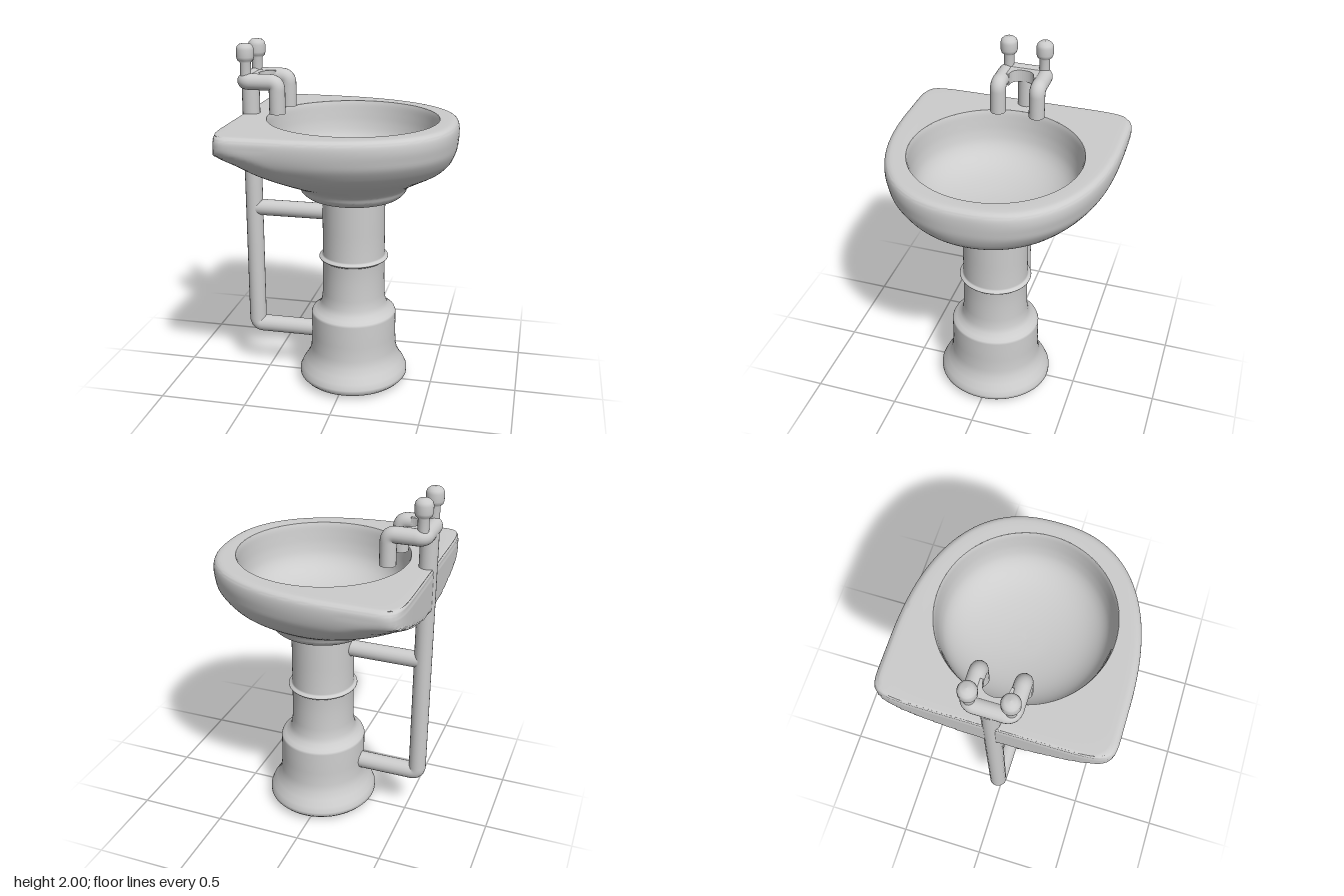
import * as THREE from 'three';
import { toCreasedNormals } from 'three/addons/utils/BufferGeometryUtils.js';

const ceramic = new THREE.MeshStandardMaterial({ color: 0xcccccc });
ceramic.name = 'ceramic grey';

function part(name, geometry, x = 0, y = 0, z = 0) {
  const mesh = new THREE.Mesh(geometry, ceramic);
  mesh.name = name;
  mesh.position.set(x, y, z);
  return mesh;
}

const toPoints = (list) => list.map(([r, y]) => new THREE.Vector2(r, y));

// Straight runs joined by rounded corners
function pipe(points, radius, bend) {
  const pts = points.map((p) => new THREE.Vector3(...p));
  const path = new THREE.CurvePath();
  let from = pts[0];
  for (let i = 1; i < pts.length - 1; i++) {
    const a = pts[i].clone().add(pts[i - 1].clone().sub(pts[i]).setLength(bend));
    const b = pts[i].clone().add(pts[i + 1].clone().sub(pts[i]).setLength(bend));
    path.add(new THREE.LineCurve3(from, a));
    path.add(new THREE.QuadraticBezierCurve3(a, pts[i], b));
    from = b;
  }
  path.add(new THREE.LineCurve3(from, pts[pts.length - 1]));
  return new THREE.TubeGeometry(path, 160, radius, 20);
}

// Smooth in-between value through four neighbouring keys
const blend = (p, q, r, s, t) => 0.5 * (2 * q + (r - p) * t
  + (2 * p - 5 * q + 4 * r - s) * t * t + (3 * q - p - 3 * r + s) * t * t * t);

// Rings of [y, centre x, front x, back x, half width, front exponent, back exponent],
// trimmed at the back to the D-shaped rim outline
function basinShell(keys, sides = 160, steps = 3) {
  const key = (i) => keys[THREE.MathUtils.clamp(i, 0, keys.length - 1)];
  const rows = [];
  for (let i = 0; i < (keys.length - 1) * steps + 1; i++) {
    const k = Math.floor(i / steps), t = (i % steps) / steps;
    rows.push(key(k).map((v, c) => blend(key(k - 1)[c], v, key(k + 1)[c], key(k + 2)[c], t)));
  }
  const pos = [], index = [];
  rows.forEach(([y, cx, front, back, half, nf, nb], i) => {
    for (let j = 0; j < sides; j++) {
      const a = (j / sides) * Math.PI * 2, c = Math.cos(a), s = Math.sin(a);
      const w = c > 0 ? front - cx : cx - back, n = c > 0 ? nf : nb;
      const r = Math.pow(Math.pow(Math.abs(c) / w, n) + Math.pow(Math.abs(s) / half, n), -1 / n);
      let x = cx + r * c, z = r * s;
      if (x < -0.3) {
        const out = Math.pow((-0.3 - x) / 0.305, 9) + Math.pow(Math.abs(z) / 0.639, 9);
        const pull = Math.pow(Math.max(out, 1), -1 / 9);
        x = -0.3 + (x + 0.3) * pull;
        z *= pull;
      }
      pos.push(x, y, z);
      if (i < rows.length - 1) {
        const k = (j + 1) % sides, o = i * sides, u = o + sides;
        index.push(o + j, u + j, o + k, o + k, u + j, u + k);
      }
    }
  });
  const g = new THREE.BufferGeometry();
  g.setAttribute('position', new THREE.Float32BufferAttribute(pos, 3));
  g.setIndex(index);
  return toCreasedNormals(g, 0.9);
}

export function createModel() {
  const model = new THREE.Group();
  model.name = 'pedestalBasin';

  // Basin shell: round foot growing into a D-shaped rim, then the flat deck
  model.add(part('basinShell', basinShell([
    [1.145, 0.03, 0.20, -0.14, 0.17, 2, 2],
    [1.145, 0.03, 0.27, -0.21, 0.24, 2, 2],
    [1.155, 0.03, 0.30, -0.24, 0.27, 2, 2],
    [1.18, 0.03, 0.325, -0.27, 0.295, 2, 2],
    [1.21, 0.03, 0.34, -0.285, 0.31, 2, 2],
    [1.24, 0.02, 0.375, -0.34, 0.35, 2, 2],
    [1.28, -0.03, 0.45, -0.43, 0.43, 2, 2],
    [1.32, -0.09, 0.525, -0.52, 0.50, 2.1, 2],
    [1.36, -0.14, 0.57, -0.605, 0.555, 2.1, 2],
    [1.40, -0.19, 0.592, -0.68, 0.59, 2.2, 2],
    [1.44, -0.24, 0.605, -0.74, 0.617, 2.3, 2.2],
    [1.48, -0.28, 0.61, -0.74, 0.632, 2.35, 3],
    [1.52, -0.3, 0.612, -0.65, 0.639, 2.4, 6],
    [1.555, -0.3, 0.61, -0.605, 0.639, 2.4, 9],
    [1.578, -0.3, 0.602, -0.603, 0.632, 2.4, 9],
    [1.59, -0.3, 0.588, -0.597, 0.617, 2.4, 9],
    [1.595, -0.3, 0.56, -0.585, 0.595, 2.4, 9],
    [1.594, 0.025, 0.505, -0.455, 0.48, 2, 2],
  ])));

  // Bowl: steep wall rounding into a shallow floor
  const bowl = new THREE.SplineCurve(toPoints([
    [0.48, 1.594], [0.473, 1.57], [0.466, 1.52], [0.456, 1.46], [0.436, 1.4], [0.396, 1.35],
    [0.33, 1.308], [0.24, 1.278], [0.12, 1.258], [0, 1.252],
  ]));
  model.add(part('bowl', new THREE.LatheGeometry(bowl.getPoints(36), 80), 0.025));

  // Pedestal with flared foot, stepped plinth and collar ring, slightly oval
  const pedestal = part('pedestal', new THREE.LatheGeometry(toPoints([
    [0, 0.005], [0.2, 0.01], [0.27, 0.02], [0.303, 0.032], [0.319, 0.05], [0.319, 0.07],
    [0.306, 0.1], [0.282, 0.135], [0.262, 0.175], [0.252, 0.22], [0.248, 0.3], [0.248, 0.43],
    [0.243, 0.443], [0.224, 0.455], [0.202, 0.475], [0.188, 0.505], [0.181, 0.56], [0.179, 0.66],
    [0.179, 0.762], [0.186, 0.768], [0.198, 0.776], [0.2, 0.78], [0.198, 0.784], [0.186, 0.792],
    [0.179, 0.798], [0.179, 0.95], [0.179, 1.16],
  ]), 64), 0.03);
  pedestal.scale.z = 1.055;
  model.add(pedestal);

  // Supply pipe behind the pedestal and its upper branch
  const px = -0.565;
  model.add(part('supplyPipe', pipe([[-0.15, 0.293, 0], [px, 0.293, 0], [px, 1.79, 0]], 0.05, 0.035)));
  model.add(part('branchPipe', pipe([[px, 1.035, 0], [-0.1, 1.035, 0]], 0.047, 0.03)));

  // Twin spouts joined by a crossbar
  const sx = -0.377, sz = 0.114, sy = 1.791;
  model.add(part('spouts', pipe([
    [sx, 1.62, sz], [sx, sy, sz], [px, sy, sz],
    [px, sy, -sz], [sx, sy, -sz], [sx, 1.62, -sz],
  ], 0.045, 0.04)));

  for (const side of [1, -1]) {
    const cap = part('spoutEnd', new THREE.CircleGeometry(0.045, 20), sx, 1.62, side * sz);
    cap.rotation.x = Math.PI / 2;
    model.add(cap);
    // Tap knob on a thin neck
    model.add(part('tapHandle', new THREE.LatheGeometry(toPoints([
      [0.03, 1.79], [0.03, 1.895], [0.044, 1.908], [0.049, 1.925], [0.049, 1.965],
      [0.044, 1.982], [0.03, 1.995], [0, 2],
    ]), 24), -0.556, 0, side * 0.105));
  }

  // Curved web filling the inner corners between the crossbar and the arms
  const web = new THREE.Shape();
  web.moveTo(px, -sz);
  web.lineTo(-0.44, -sz);
  web.lineTo(-0.44, -0.07);
  web.quadraticCurveTo(-0.51, -0.07, -0.51, 0);
  web.quadraticCurveTo(-0.51, 0.07, -0.44, 0.07);
  web.lineTo(-0.44, sz);
  web.lineTo(px, sz);
  const webPlate = part('spoutWeb', new THREE.ExtrudeGeometry(web,
    { depth: 0.07, bevelEnabled: false, curveSegments: 10 }), 0, sy + 0.035, 0);
  webPlate.rotation.x = Math.PI / 2;
  model.add(webPlate);
  return model;
}
